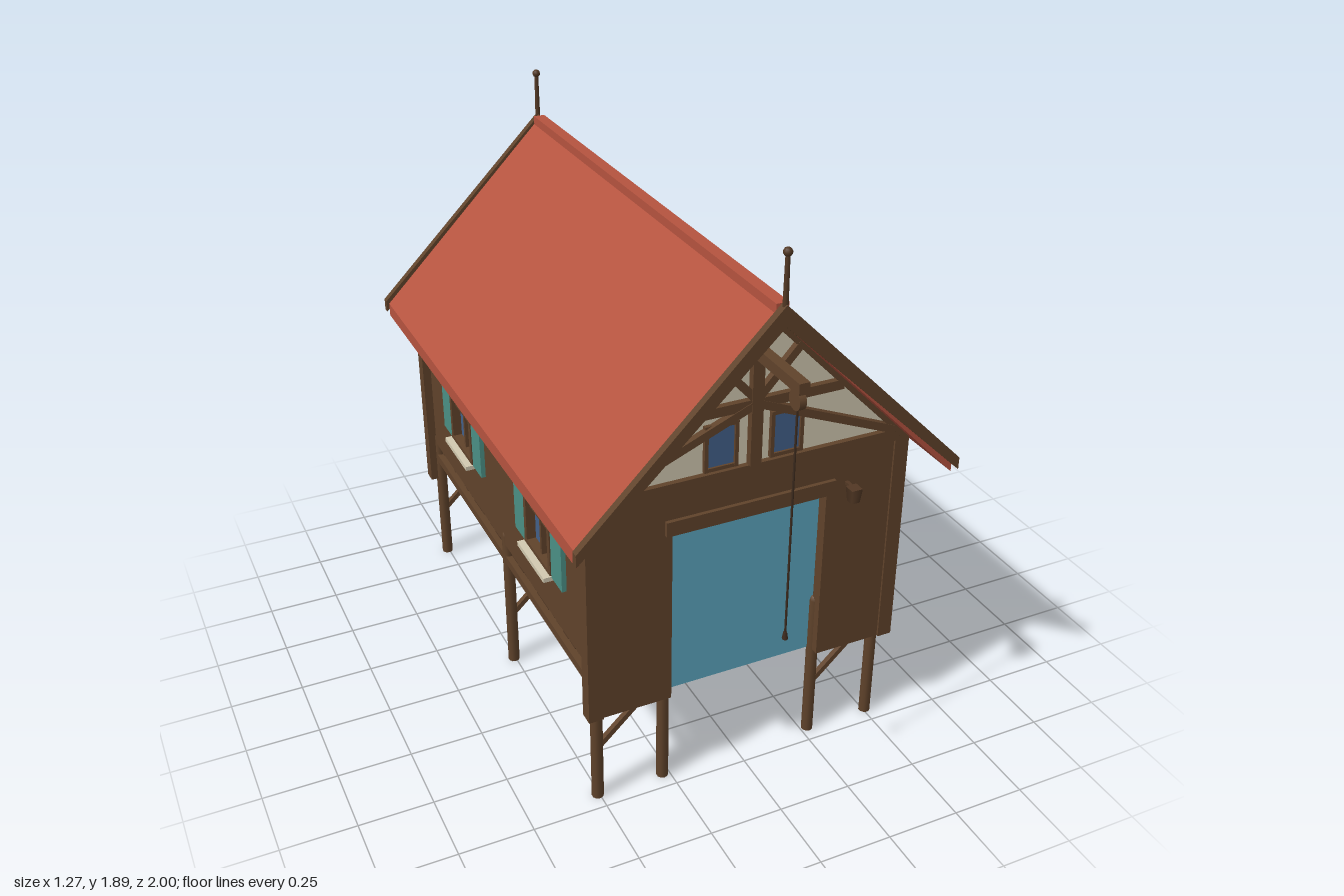
import * as THREE from 'three';

const mat = (name, color) => Object.assign(new THREE.MeshStandardMaterial({ color }), { name });

export function createModel() {
  const M = {
    wood: mat('brown wood', 0x60432b), dark: mat('dark wood', 0x523824),
    roof: mat('red roof', 0xb5533f), plaster: mat('cream plaster', 0xd2c9b0),
    door: mat('blue boat door', 0x5ba5be), shutter: mat('teal shutter', 0x4b9085),
    glass: mat('window glass', 0x43608a), iron: mat('dark iron', 0x3d2b1e),
  };
  const root = new THREE.Group();
  const group = (name, parent = root) => {
    const g = new THREE.Group();
    g.name = name;
    parent.add(g);
    return g;
  };
  const add = (parent, name, geo, m, x = 0, y = 0, z = 0) => {
    const mesh = new THREE.Mesh(geo, m);
    mesh.name = name;
    mesh.position.set(x, y, z);
    parent.add(mesh);
    return mesh;
  };
  // box given by its limits on each axis
  const box = (p, name, m, x0, x1, y0, y1, z0, z1) =>
    add(p, name, new THREE.BoxGeometry(x1 - x0, y1 - y0, z1 - z0), m, (x0 + x1) / 2, (y0 + y1) / 2, (z0 + z1) / 2);
  // bar between two points in the xy plane
  const bar = (p, name, m, a, b, w, d, z) => {
    const dx = b[0] - a[0], dy = b[1] - a[1];
    const mesh = add(p, name, new THREE.BoxGeometry(Math.hypot(dx, dy), w, d), m, (a[0] + b[0]) / 2, (a[1] + b[1]) / 2, z);
    mesh.rotation.z = Math.atan2(dy, dx);
    return mesh;
  };
  const prism = (pts, depth, holes = []) => {
    const shape = new THREE.Shape(pts.map(p => new THREE.Vector2(...p)));
    holes.forEach(h => shape.holes.push(new THREE.Path(h.map(p => new THREE.Vector2(...p)))));
    return new THREE.ExtrudeGeometry(shape, { depth, bevelEnabled: false });
  };
  const rect = (x0, x1, y0, y1) => [[x0, y0], [x1, y0], [x1, y1], [x0, y1]];

  // window facing +z, set in a wall whose outer face is z = 0
  const addWindow = (parent, u, shutters) => {
    const g = group('window', parent);
    g.position.x = u;
    box(g, 'windowGlass', M.glass, -0.1, 0.1, 0.7, 0.92, -0.022, -0.014);
    for (const s of [-1, 1]) {
      box(g, 'windowJamb', M.wood, s * 0.103 - 0.01, s * 0.103 + 0.01, 0.69, 0.933, -0.04, 0.018);
      if (shutters) box(g, 'shutter', M.shutter, s * 0.163 - 0.045, s * 0.163 + 0.045, 0.69, 0.92, 0, 0.016);
    }
    box(g, 'windowHead', M.wood, -0.113, 0.113, 0.912, 0.933, -0.04, 0.019);
    box(g, 'windowFoot', M.wood, -0.113, 0.113, 0.69, 0.706, -0.04, 0.019);
    box(g, 'mullion', M.wood, -0.007, 0.007, 0.7, 0.92, -0.03, 0.004);
    box(g, 'transom', M.wood, -0.1, 0.1, 0.829, 0.843, -0.03, 0.003);
    box(g, 'windowSill', M.plaster, -0.118, 0.118, 0.676, 0.692, -0.005, 0.043);
  };
  // wall with window openings, outer face on local z = 0
  const addWall = (name, half, y0, y1, x, z, ry, windows, shutters) => {
    const g = group(name);
    g.position.set(x, 0, z);
    g.rotation.y = ry;
    const holes = windows.map(u => rect(u - 0.1, u + 0.1, 0.695, 0.925));
    add(g, 'wallPanel', prism(rect(-half, half, y0, y1), 0.03, holes), M.wood, 0, 0, -0.03);
    windows.forEach(u => addWindow(g, u, shutters));
    return g;
  };

  // walls
  const right = addWall('doorSideWall', 0.775, 0.51, 1.12, 0.52, -0.085, Math.PI / 2, [-0.3825], true);
  addWall('windowSideWall', 0.775, 0.51, 1.12, -0.52, -0.085, -Math.PI / 2, [-0.375, 0.3825], true);
  addWall('backWall', 0.5, 0.51, 1.13, 0, -0.885, Math.PI, [0], false);
  const opening = [[-0.5, 0.35], [-0.265, 0.35], [-0.265, 0.97], [0.265, 0.97], [0.265, 0.35], [0.5, 0.35], [0.5, 1.13], [-0.5, 1.13]];
  add(root, 'frontWall', prism(opening, 0.04), M.wood, 0, 0, 0.693);
  for (const s of [-1, 1]) for (const [z0, z1] of [[0.69, 0.74], [-0.91, -0.86]])
    box(root, 'cornerPost', M.wood, s * 0.525 - 0.025, s * 0.525 + 0.025, 0.35, 1.13, z0, z1);

  // side door
  const door = group('sideDoor', right);
  door.position.x = 0.175;
  box(door, 'doorLeaf', M.wood, -0.12, 0.12, 0.51, 1.0, 0, 0.01);
  for (const s of [-1, 1]) box(door, 'doorJamb', M.wood, s * 0.13 - 0.01, s * 0.13 + 0.01, 0.51, 1.02, 0, 0.022);
  box(door, 'doorHead', M.wood, -0.14, 0.14, 1.0, 1.022, 0, 0.023);
  for (const y of [0.61, 0.865]) box(door, 'doorBatten', M.dark, -0.115, 0.115, y - 0.007, y + 0.007, 0.005, 0.015);
  add(door, 'doorKnob', new THREE.SphereGeometry(0.008, 10, 8), M.iron, 0.08, 0.72, 0.018);

  // boat door, lintel and lantern
  box(root, 'boatDoor', M.door, -0.268, 0.268, 0.35, 0.975, 0.68, 0.688);
  box(root, 'lintel', M.wood, -0.29, 0.29, 0.97, 1.02, 0.72, 0.746);
  add(root, 'lantern', new THREE.CylinderGeometry(0.027, 0.02, 0.05, 4).rotateY(Math.PI / 4), M.dark, 0.335, 0.975, 0.778);
  box(root, 'lanternArm', M.dark, 0.329, 0.341, 0.99, 1.0, 0.73, 0.775);

  // gables with timber framing
  for (const [name, z, ry] of [['frontGable', 0.725, 0], ['backGable', -0.885, Math.PI]]) {
    const g = group(name);
    g.position.z = z;
    g.rotation.y = ry;
    add(g, 'gablePlaster', prism([[-0.54, 1.12], [0.54, 1.12], [0, 1.675]], 0.03), M.plaster, 0, 0, -0.03);
    box(g, 'tieBeam', M.wood, -0.53, 0.53, 1.11, 1.15, -0.03, 0.018);
    box(g, 'kingPost', M.wood, -0.019, 0.019, 1.15, 1.67, -0.01, 0.024);
    box(g, 'collarBeam', M.wood, -0.295, 0.295, 1.338, 1.37, -0.01, 0.02);
    for (const s of [-1, 1]) {
      bar(g, 'lowerBrace', M.wood, [0, 1.355], [s * 0.485, 1.155], 0.026, 0.03, 0.007);
      bar(g, 'upperBrace', M.wood, [0, 1.365], [s * 0.142, 1.52], 0.026, 0.03, 0.006);
      bar(g, 'gableRafter', M.wood, [0, 1.665], [s * 0.53, 1.125], 0.025, 0.03, 0.005);
      const x = s * 0.11;
      box(g, 'gableGlass', M.glass, x - 0.05, x + 0.05, 1.16, 1.3, 0, 0.006);
      for (const t of [-1, 1]) box(g, 'gableJamb', M.wood, x + t * 0.05 - 0.006, x + t * 0.05 + 0.006, 1.155, 1.31, 0, 0.014);
      for (const y of [1.161, 1.304]) box(g, 'gableRail', M.wood, x - 0.055, x + 0.055, y - 0.006, y + 0.006, 0, 0.013);
    }
  }

  // roof slopes, bargeboards, ridge and finials
  const roof = group('roof');
  for (const s of [-1, 1]) {
    const side = pts => pts.map(([x, y]) => [s * x, y]);
    add(roof, 'roofSlope', prism(side([[0, 1.715], [0, 1.67], [0.627, 1.033], [0.627, 1.081]]), 1.84), M.roof, 0, 0, -0.975);
    for (const z of [-1, 0.863])
      add(roof, 'bargeboard', prism(side([[0, 1.728], [0, 1.662], [0.637, 1.05], [0.637, 1.092]]), 0.025), M.wood, 0, 0, z);
  }
  box(roof, 'ridgeCap', M.roof, -0.02, 0.02, 1.68, 1.725, -0.974, 0.862);
  for (const z of [0.876, -0.987]) {
    add(roof, 'finialRod', new THREE.CylinderGeometry(0.007, 0.009, 0.18, 10), M.dark, 0, 1.79, z);
    add(roof, 'finialKnob', new THREE.SphereGeometry(0.014, 12, 8), M.dark, 0, 1.88, z);
  }

  // hoist
  const hoist = group('hoist');
  box(hoist, 'hoistBeam', M.wood, -0.017, 0.017, 1.507, 1.543, 0.7, 1.0);
  add(hoist, 'pulley', new THREE.CylinderGeometry(0.031, 0.031, 0.022, 16).rotateZ(Math.PI / 2), M.wood, 0, 1.477, 0.967);
  add(hoist, 'rope', new THREE.CylinderGeometry(0.0035, 0.0035, 0.8, 6), M.iron, 0, 1.075, 0.967);
  add(hoist, 'hook', new THREE.CylinderGeometry(0.006, 0.01, 0.024, 8), M.iron, 0, 0.672, 0.967);

  // piles with rounded tops, braces and bearers
  const piles = group('foundation');
  const pile = new THREE.LatheGeometry([[0, 0], [0.02, 0], [0.02, 0.54], [0.014, 0.555], [0, 0.56]].map(p => new THREE.Vector2(...p)), 10);
  for (const z of [0.69, -0.09, -0.868]) {
    for (const x of [-0.506, -0.275, 0.275, 0.506]) add(piles, 'pile', pile, M.wood, x, 0, z);
    for (const x of [-0.506, 0.275]) {
      bar(piles, 'pileBrace', M.wood, [x, 0.2], [x + 0.231, 0.42], 0.018, 0.018, z);
      box(piles, 'crossBearer', M.wood, x, x + 0.231, 0.43, 0.46, z - 0.012, z + 0.012);
    }
  }
  for (const x of [-0.506, -0.275, 0.275, 0.506])
    box(piles, 'longBearer', M.wood, x - 0.014, x + 0.014, 0.43, 0.461, -0.868, 0.69);

  // side walkways and back platform
  const deck = group('deck');
  for (const s of [-1, 1]) for (let i = 0; i < 21; i++) {
    const plank = box(deck, 'walkwayPlank', M.dark, s * 0.385 - 0.13, s * 0.385 + 0.13, 0.496, 0.51, 0.62 - i * 0.058, 0.668 - i * 0.058);
    plank.rotation.y = 0.025 * Math.sin(i * 2.3 + s);
    plank.position.y += 0.003 * Math.sin(i * 1.7);
  }
  for (const z of [-0.56, -0.705, -0.845]) box(deck, 'platformJoist', M.wood, -0.5, 0.5, 0.46, 0.497, z - 0.01, z + 0.01);
  for (let i = 0; i < 17; i++) {
    const x = -0.48 + i * 0.06;
    box(deck, 'platformPlank', M.dark, x - 0.024, x + 0.024, 0.497, 0.51, -0.86, -0.55);
  }
  return root;
}
